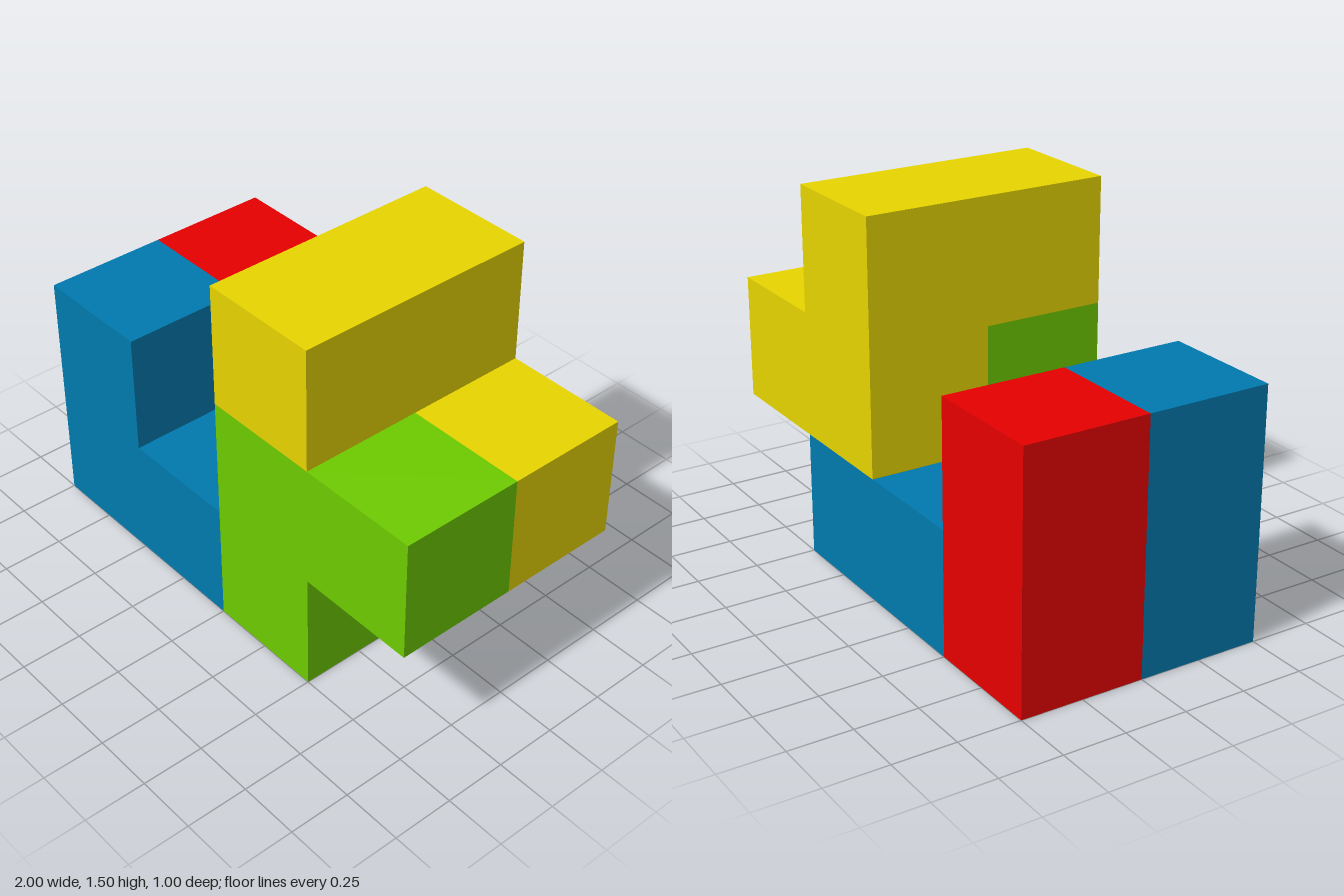
import * as THREE from 'three';
import { mergeGeometries } from 'three/addons/utils/BufferGeometryUtils.js';

const S = 0.5; // edge of one unit cube

const material = (name, color) => {
  const m = new THREE.MeshStandardMaterial({ color });
  m.name = name;
  return m;
};

// Each piece is a chain of unit cubes [column, level, row], row 0 at the back
const PIECES = [
  { name: 'bluePiece', mat: ['blue', 0x0079ad], cells: [[0, 1, 1], [0, 0, 1], [1, 0, 1], [1, 0, 0], [2, 0, 0]] },
  { name: 'redPiece', mat: ['red', 0xe60000], cells: [[0, 0, 0], [0, 1, 0]] },
  { name: 'greenPiece', mat: ['green', 0x6dca00], cells: [[2, 0, 1], [2, 1, 1], [3, 1, 1]] },
  { name: 'yellowPiece', mat: ['yellow', 0xe6d400], cells: [[2, 2, 1], [2, 2, 0], [2, 1, 0], [3, 1, 0]] },
];

const DIRECTIONS = [[1, 0, 0], [-1, 0, 0], [0, 1, 0], [0, -1, 0], [0, 0, 1], [0, 0, -1]];
const FORWARD = new THREE.Vector3(0, 0, 1);

// One closed skin per piece: a square on every cube side with no neighbour in that piece
function pieceGeometry(cells) {
  const filled = new Set(cells.map(String));
  const faces = [];
  for (const cell of cells) {
    const centre = new THREE.Vector3((cell[0] - 1.5) * S, (cell[1] + 0.5) * S, (cell[2] - 0.5) * S);
    for (const dir of DIRECTIONS) {
      if (filled.has(String(cell.map((v, i) => v + dir[i])))) continue;
      const normal = new THREE.Vector3(...dir);
      const turn = new THREE.Quaternion().setFromUnitVectors(FORWARD, normal);
      const position = centre.clone().addScaledVector(normal, S / 2);
      faces.push(new THREE.PlaneGeometry(S, S).applyQuaternion(turn).translate(position.x, position.y, position.z));
    }
  }
  return mergeGeometries(faces);
}

export function createModel() {
  const group = new THREE.Group();
  group.name = 'blockPuzzle';
  for (const { name, mat, cells } of PIECES) {
    const mesh = new THREE.Mesh(pieceGeometry(cells), material(...mat));
    mesh.name = name;
    group.add(mesh);
  }
  return group;
}
